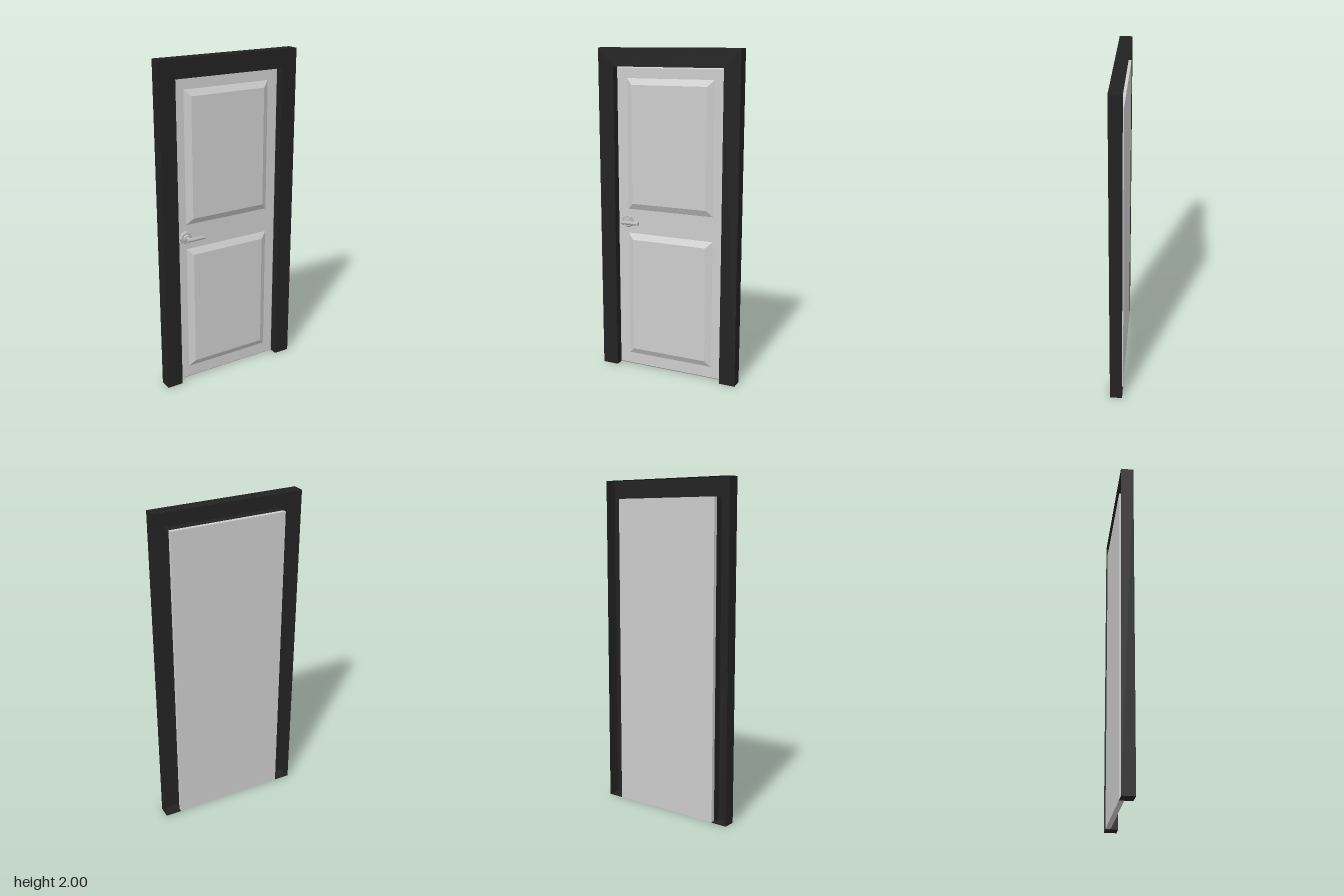
import * as THREE from 'three';

const BACK = -0.05, FRONT = 0.025; // depth range of the frame
const FACE = -0.017;               // front face of the door slab

const frameMat = new THREE.MeshStandardMaterial({ name: 'blackFrame', color: 0x222222, side: THREE.DoubleSide });
const doorMat = new THREE.MeshStandardMaterial({ name: 'lightGreyDoor', color: 0xcccccc });
const handleMat = new THREE.MeshStandardMaterial({ name: 'greyMetal', color: 0xb8b8b8 });

function addMesh(parent, name, geometry, material) {
  const mesh = new THREE.Mesh(geometry, material);
  mesh.name = name;
  parent.add(mesh);
  return mesh;
}

// Box from z0 to z1 whose front corners are pulled in by an inset
function bevelBlock(x0, x1, y0, y1, z0, z1, inset) {
  const w = x1 - x0, h = y1 - y0;
  const geo = new THREE.BoxGeometry(w, h, z1 - z0).toNonIndexed();
  const p = geo.attributes.position;
  for (let i = 0; i < p.count; i++) {
    if (p.getZ(i) > 0) {
      p.setX(i, Math.sign(p.getX(i)) * (w / 2 - inset));
      p.setY(i, Math.sign(p.getY(i)) * (h / 2 - inset));
    }
  }
  geo.translate((x0 + x1) / 2, (y0 + y1) / 2, (z0 + z1) / 2);
  geo.computeVertexNormals();
  return geo;
}

// Hollow door surround, open at the back
function frameGeometry() {
  const outline = [[-0.45, 0], [-0.35, 0], [-0.35, 1.89], [0.35, 1.89],
    [0.35, 0], [0.45, 0], [0.45, 2], [-0.45, 2]];
  const shape = new THREE.Shape(outline.map(([x, y]) => new THREE.Vector2(x, y)));
  const full = new THREE.ExtrudeGeometry(shape, { depth: FRONT - BACK, bevelEnabled: false });
  // The back lid comes first in the extrusion and is left out
  const lidVertices = (outline.length - 2) * 3;
  const geo = new THREE.BufferGeometry();
  geo.setAttribute('position', new THREE.BufferAttribute(
    full.attributes.position.array.slice(lidVertices * 3), 3));
  geo.translate(0, 0, BACK);
  geo.computeVertexNormals();
  return geo;
}

export function createModel() {
  const model = new THREE.Group();
  model.name = 'panelDoor';

  addMesh(model, 'frame', frameGeometry(), frameMat);

  // Door slab with a small chamfer round its front
  const door = new THREE.Group();
  door.name = 'door';
  model.add(door);
  const edge = 0.3505, bottom = 0.002, top = 1.8905, chamfer = 0.008;
  addMesh(door, 'doorSlab', bevelBlock(-edge, edge, bottom, top, BACK, FACE - chamfer, 0), doorMat);
  addMesh(door, 'doorFace', bevelBlock(-edge, edge, bottom, top, FACE - chamfer, FACE, chamfer), doorMat);

  // Raised panels
  for (const [name, y0, y1] of [['lowerPanel', 0.08, 0.875], ['upperPanel', 1.027, 1.822]]) {
    addMesh(door, name, bevelBlock(-0.28, 0.28, y0, y1, FACE, FACE + 0.02, 0.038), doorMat);
  }

  // Handle: stepped rosette, neck and lever
  const handle = new THREE.Group();
  handle.name = 'handle';
  handle.position.set(-0.285, 0.95, 0);
  model.add(handle);
  const rod = (name, r0, r1, length, sides) => {
    const geo = new THREE.CylinderGeometry(r1, r0, length, sides).toNonIndexed();
    geo.computeVertexNormals();
    return addMesh(handle, name, geo, handleMat);
  };
  const rosette = rod('rosette', 0.042, 0.036, 0.016, 8);
  rosette.rotation.x = Math.PI / 2;
  rosette.position.z = FACE + 0.008;
  const collar = rod('collar', 0.025, 0.019, 0.01, 8);
  collar.rotation.x = Math.PI / 2;
  collar.position.z = FACE + 0.021;
  const neck = rod('neck', 0.013, 0.013, 0.056, 8);
  neck.rotation.x = Math.PI / 2;
  neck.position.z = FACE + 0.028;
  const lever = rod('lever', 0.013, 0.011, 0.112, 8);
  lever.rotation.z = -Math.PI / 2;
  lever.position.set(0.042, 0, 0.035);

  return model;
}
